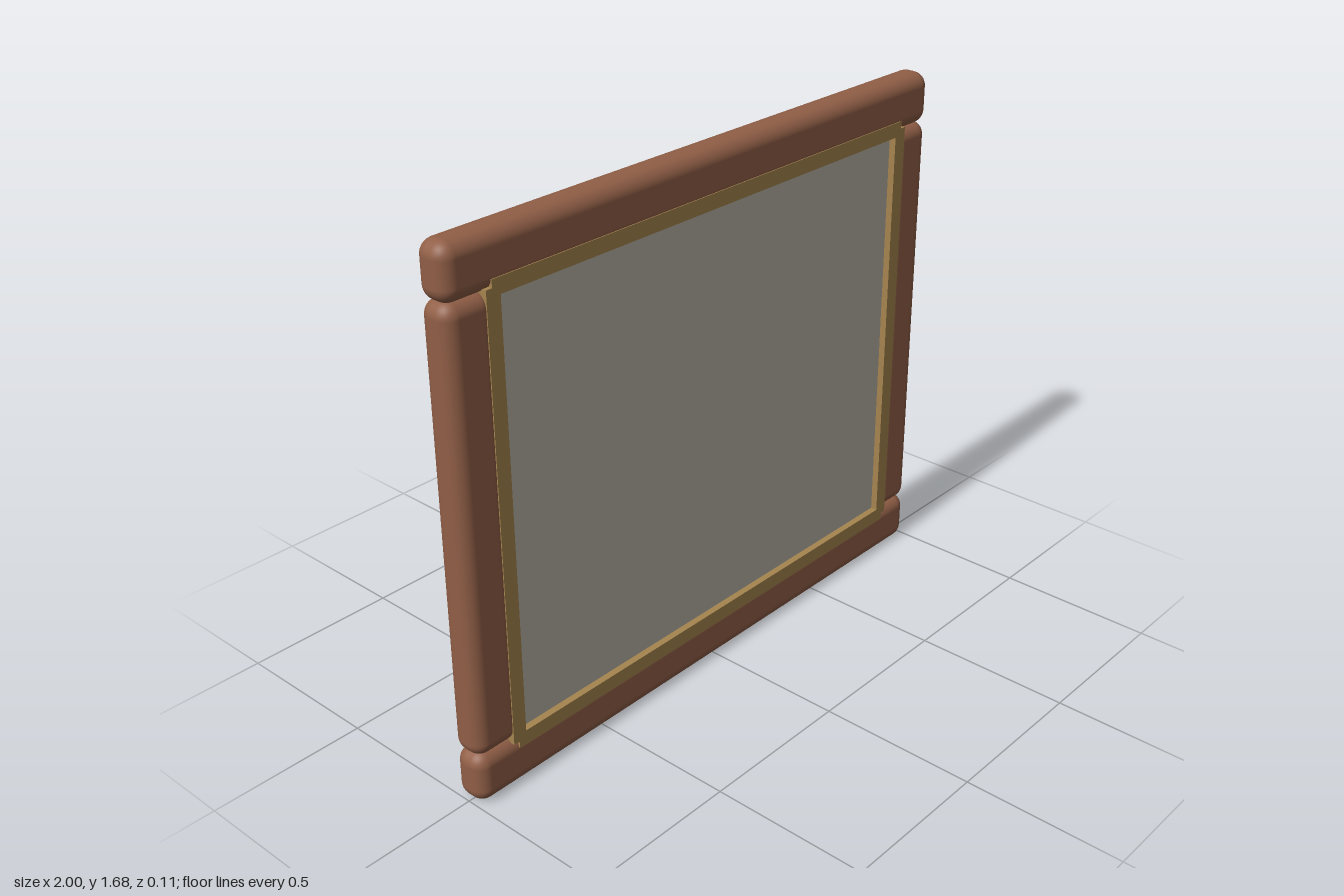
import * as THREE from 'three';
import { RoundedBoxGeometry } from 'three/addons/geometries/RoundedBoxGeometry.js';

const WIDTH = 2, HEIGHT = 1.68, DEPTH = 0.11, BAR = 0.165;

function material(name, color) {
  const m = new THREE.MeshStandardMaterial({ color });
  m.name = name;
  return m;
}

export function createModel() {
  const model = new THREE.Group();
  model.name = 'framedPanel';
  const wood = material('brownWood', 0x915f47);
  const gold = material('goldTrim', 0xa6854f);
  const grey = material('greyPanel', 0xb8b3a7);

  const add = (name, geometry, mat, x, y, z) => {
    const mesh = new THREE.Mesh(geometry, mat);
    mesh.name = name;
    mesh.position.set(x, y, z);
    model.add(mesh);
  };

  // Rounded rails run the full width; the stiles sit between them
  const rail = new RoundedBoxGeometry(WIDTH, BAR, DEPTH, 4, 0.045);
  const stile = new RoundedBoxGeometry(BAR, 1.365, DEPTH, 4, 0.045);
  add('bottomRail', rail, wood, 0, BAR / 2, 0);
  add('topRail', rail, wood, 0, HEIGHT - BAR / 2, 0);
  add('leftStile', stile, wood, WIDTH / 2 - BAR / 2, HEIGHT / 2, 0);
  add('rightStile', stile, wood, -WIDTH / 2 + BAR / 2, HEIGHT / 2, 0);

  // Panel, flush near the back and slightly recessed at the front
  add('panel', new THREE.BoxGeometry(1.73, 1.4, 0.083), grey, 0, HEIGHT / 2, -0.0065);

  // Trim strips around the front opening, stepped at the corners
  const trimDepth = 0.037, trimZ = 0.0385;
  const trimRail = new THREE.BoxGeometry(1.7, 0.047, trimDepth);
  const trimStile = new THREE.BoxGeometry(0.047, 1.38, trimDepth);
  for (const [side, s] of [['Top', 1], ['Bottom', -1]]) {
    add('trim' + side, trimRail, gold, 0, HEIGHT / 2 + s * 0.6895, trimZ);
  }
  for (const [side, s] of [['Left', 1], ['Right', -1]]) {
    add('trim' + side, trimStile, gold, s * 0.8465, HEIGHT / 2, trimZ);
  }
  return model;
}
